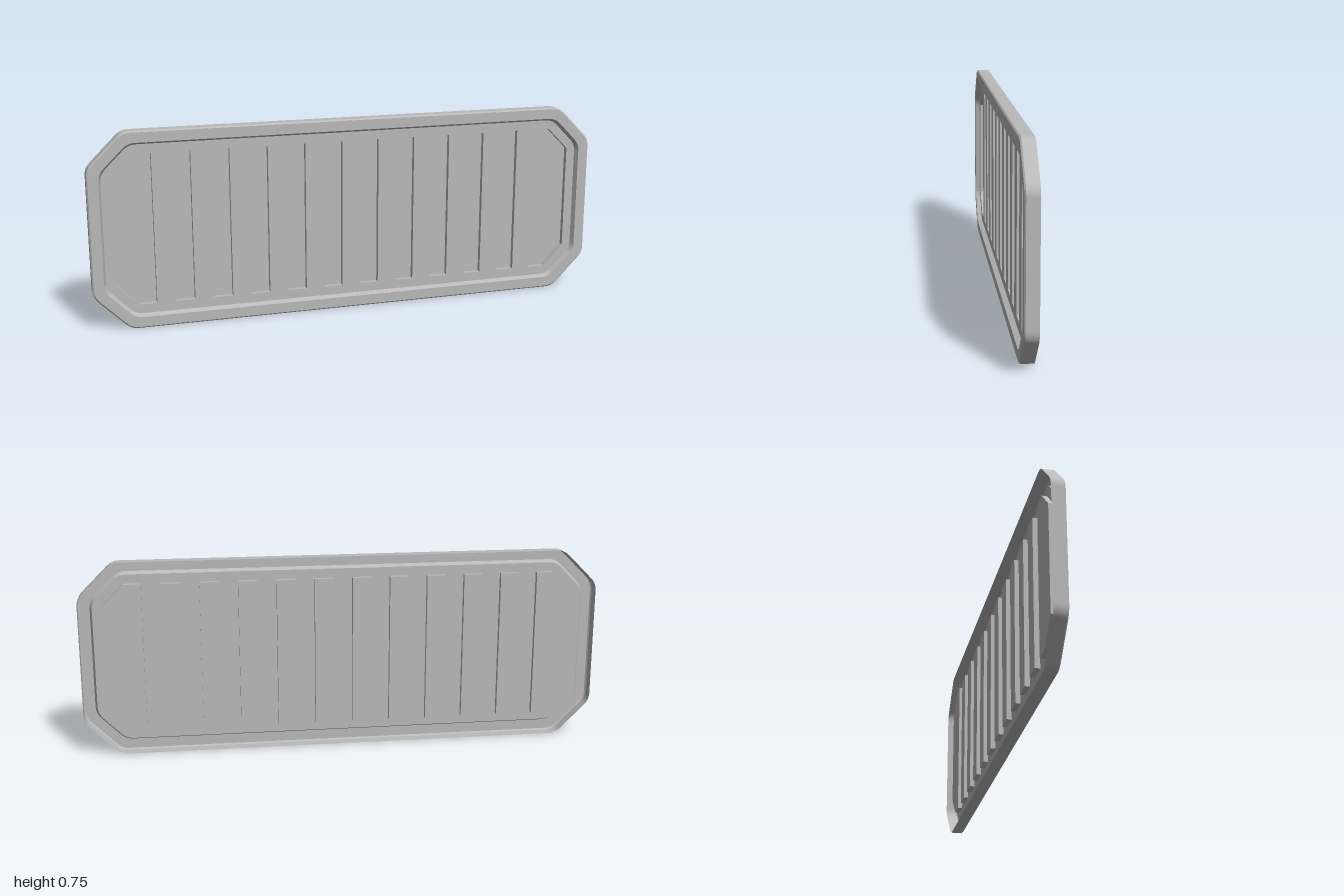
import * as THREE from 'three';

const W = 1, H = 0.375, CUT = 0.135; // half width, half height, corner cut
const PANEL_Z = 0.006, POCKET_Z = -0.013;

// corner-cut outline, inset by d, counter-clockwise seen from the front
function corners(d) {
  const w = W - d, h = H - d, c = CUT - d * (2 - Math.SQRT2);
  return [[w, c - h], [w, h - c], [w - c, h], [c - w, h], [-w, h - c], [-w, c - h], [c - w, -h], [w - c, -h]]
    .map(([x, y]) => new THREE.Vector2(x, y + H));
}

// the same outline with softened corners
function ring(d, t = 0.028, steps = 5) {
  const pts = corners(d), n = pts.length, out = [];
  pts.forEach((p, i) => {
    const before = pts[(i + n - 1) % n].clone().sub(p).setLength(t).add(p);
    const after = pts[(i + 1) % n].clone().sub(p).setLength(t).add(p);
    out.push(...new THREE.QuadraticBezierCurve(before, p, after).getPoints(steps));
  });
  return out;
}

// band of sheet between two loops; sharp gives each side its own normals
function band(a, za, b, zb, sharp) {
  const pos = [], n = a.length;
  const idx = [];
  if (sharp) {
    for (let i = 0; i < n; i++) {
      const j = (i + 1) % n, k = i * 4;
      pos.push(a[i].x, a[i].y, za, a[j].x, a[j].y, za, b[j].x, b[j].y, zb, b[i].x, b[i].y, zb);
      idx.push(k, k + 1, k + 2, k, k + 2, k + 3);
    }
  } else {
    for (let i = 0; i < n; i++) {
      const j = (i + 1) % n;
      pos.push(a[i].x, a[i].y, za, b[i].x, b[i].y, zb);
      idx.push(2 * i, 2 * j, 2 * j + 1, 2 * i, 2 * j + 1, 2 * i + 1);
    }
  }
  const g = new THREE.BufferGeometry();
  g.setAttribute('position', new THREE.Float32BufferAttribute(pos, 3));
  g.setIndex(idx);
  g.computeVertexNormals();
  return g;
}

export function createModel() {
  const model = new THREE.Group();
  model.name = 'pressedPanel';
  const metal = new THREE.MeshStandardMaterial({ color: 0xbababa, side: THREE.DoubleSide });
  metal.name = 'plain grey metal';
  const add = (name, geometry, parent = model) => {
    const mesh = new THREE.Mesh(geometry, metal);
    mesh.name = name;
    parent.add(mesh);
    return mesh;
  };

  // rim: flange open at the back, small bevel, front face, step down to the panel
  const profile = [
    ['flange', 0, -0.025], ['frontBevel', 0, 0.02], ['rimFace', 0.005, 0.025],
    ['innerStep', 0.043, 0.025], ['', 0.052, PANEL_Z],
  ];
  for (let i = 0; i < profile.length - 1; i++) {
    const [name, d, z] = profile[i], [, d2, z2] = profile[i + 1];
    add(name, band(ring(d), z, ring(d2), z2, false));
  }

  // pocket outlines: ten upright slots and a corner-cut one at each end
  const pockets = [];
  const y0 = 0.087, y1 = 0.663, half = 0.0365, pitch = 0.1456;
  for (let i = 0; i < 10; i++) {
    const x = (i - 4.5) * pitch;
    pockets.push([[x - half, y0], [x + half, y0], [x + half, y1], [x - half, y1]]
      .map(([px, py]) => new THREE.Vector2(px, py)));
  }
  const c = corners(0.087), inner = 0.763;
  const end = [new THREE.Vector2(inner, c[7].y), c[7], c[0], c[1], c[2], new THREE.Vector2(inner, c[2].y)];
  pockets.push(end, end.map(p => new THREE.Vector2(-p.x, p.y)).reverse());

  // flat panel pierced by the pockets
  const sheet = new THREE.Shape(ring(0.052));
  pockets.forEach(p => sheet.holes.push(new THREE.Path([...p].reverse())));
  add('panel', new THREE.ShapeGeometry(sheet).translate(0, 0, PANEL_Z));

  // pocket walls and floors, standing proud at the back
  pockets.forEach((p, i) => {
    const pocket = new THREE.Group();
    pocket.name = i < 10 ? 'slotPocket' : 'endPocket';
    add('pocketWall', band(p, PANEL_Z, p, POCKET_Z, true), pocket);
    add('pocketFloor', new THREE.ShapeGeometry(new THREE.Shape(p)).translate(0, 0, POCKET_Z), pocket);
    model.add(pocket);
  });
  return model;
}
